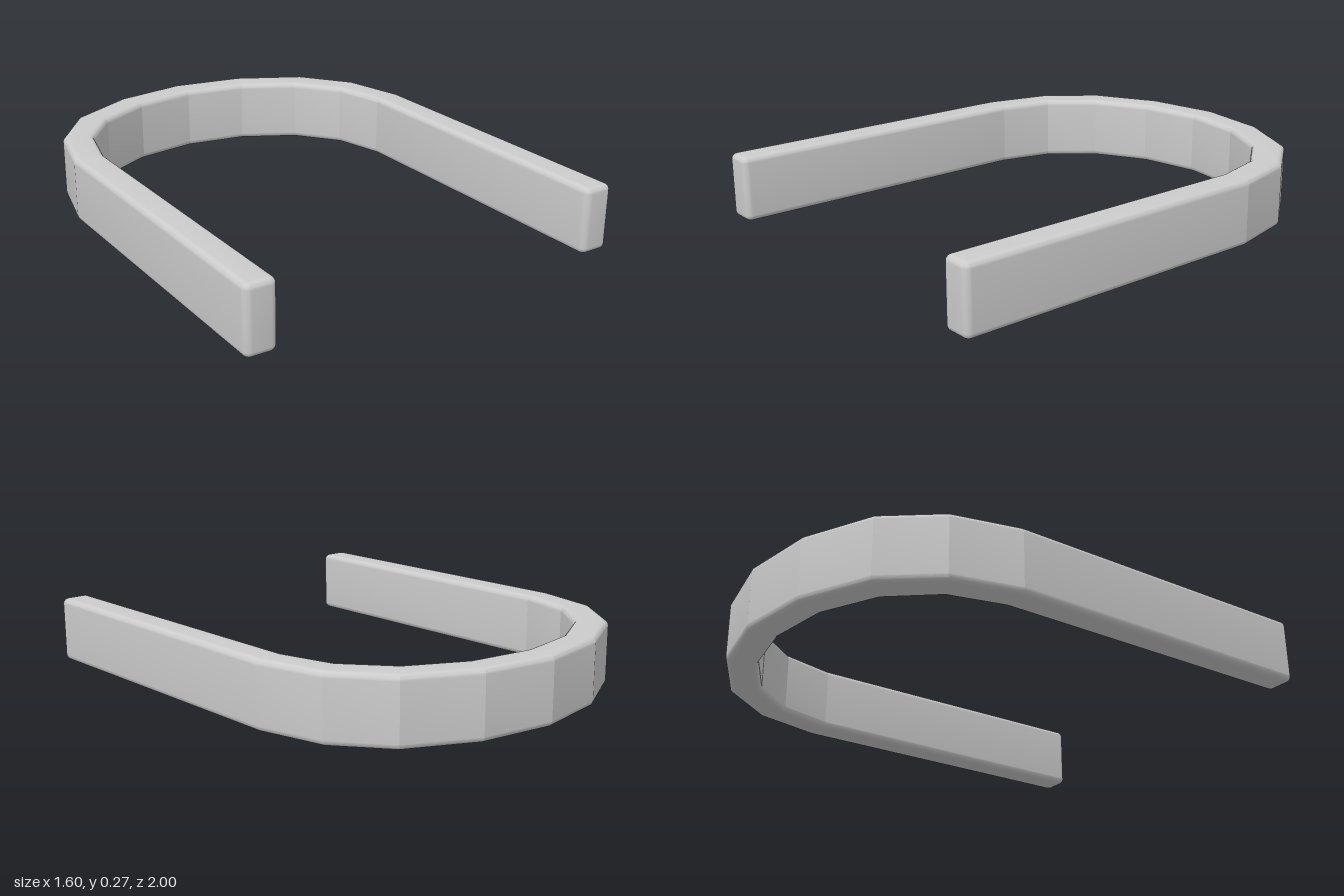
import * as THREE from 'three';
import { toCreasedNormals } from 'three/addons/utils/BufferGeometryUtils.js';

const HEIGHT = 0.267, BEVEL = 0.024, CORNER = 0.027, STEPS = 8;

// Half outlines of the bend, from the leg to the crown (x, depth)
const OUTER = [[0.8, 0.33], [0.735, 0.6], [0.575, 0.81], [0.305, 0.95], [0, 1]];
const INNER = [[0.675, 0.32], [0.62, 0.54], [0.48, 0.715], [0.26, 0.832], [0, 0.873]];

// Full bend outline running from +x to -x
function bend(half) {
  const mirrored = half.slice(0, -1).reverse().map(([x, y]) => [-x, y]);
  return [...half, ...mirrored];
}

// Rounded tip of a leg, running from its -x side to its +x side
function legTip(x0, x1) {
  const points = [];
  for (const [cx, start] of [[x0 + CORNER, Math.PI], [x1 - CORNER, Math.PI * 1.5]]) {
    for (let i = 0; i <= STEPS; i++) {
      const a = start + (i / STEPS) * Math.PI / 2;
      points.push([cx + CORNER * Math.cos(a), -1 + CORNER + CORNER * Math.sin(a)]);
    }
  }
  return points;
}

export function createModel() {
  const group = new THREE.Group();
  group.name = 'uShapedBar';

  const outline = [
    ...legTip(0.675, 0.8),
    ...bend(OUTER),
    ...legTip(-0.8, -0.675),
    ...bend(INNER).reverse(),
  ].map(([x, y]) => new THREE.Vector2(x, y));

  // Flat bar bent into a U, with rounded edges and a faceted bend
  const extruded = new THREE.ExtrudeGeometry(new THREE.Shape(outline), {
    depth: HEIGHT - 2 * BEVEL,
    bevelSize: BEVEL,
    bevelThickness: BEVEL,
    bevelOffset: -BEVEL,
    bevelSegments: STEPS,
  });
  extruded.rotateX(-Math.PI / 2);
  extruded.translate(0, BEVEL, 0);

  const bar = new THREE.Mesh(
    toCreasedNormals(extruded, 0.23),
    new THREE.MeshStandardMaterial({ color: 0xcccccc }),
  );
  bar.name = 'bentBar';
  group.add(bar);
  return group;
}
